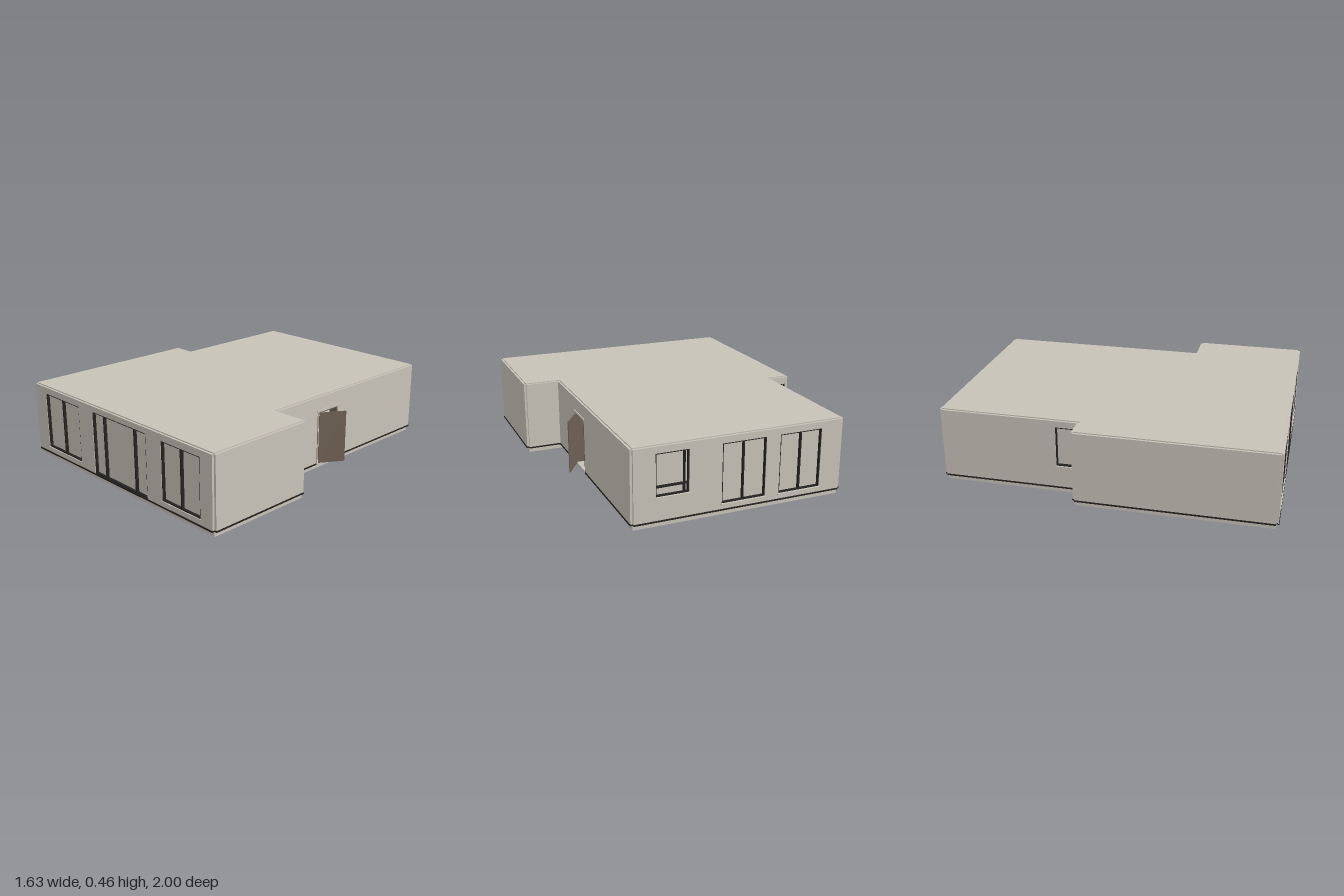
import * as THREE from 'three';

const material = (name, color) => Object.assign(new THREE.MeshStandardMaterial({ color }), { name });

// Corners of the floor plan as [x, z], walked with the outside on the right-hand face
const PLAN = [
  [-0.797, 0.982], [0.797, 0.982], [0.797, 0.325], [0.58, 0.325],
  [0.58, -0.977], [-0.663, -0.977], [-0.663, -0.147], [-0.797, -0.147],
];
const CLAD = 0.013, WALL = 0.04, BASE = 0.03, EAVES = 0.45, TOP = 0.46;

// Openings per wall: from/to are world x or z along that wall
const OPENINGS = [
  [
    { from: -0.69, to: -0.345, y0: 0.07, y1: 0.415, bars: [-0.515], sill: 0.003 },
    { from: -0.21, to: 0.275, y0: 0.037, y1: 0.42, bars: [-0.105, 0.17] },
    { from: 0.4, to: 0.705, y0: 0.07, y1: 0.415, bars: [0.555], sill: 0.003 },
  ],
  [], [],
  [{ from: -0.035, to: -0.215, y0: 0.037, y1: 0.36, door: true }],
  [
    { from: 0.455, to: 0.265, y0: 0.172, y1: 0.415, bars: [0.29], rail: 0.225, sill: 0.01 },
    { from: 0.073, to: -0.19, y0: 0.07, y1: 0.415, bars: [-0.055], sill: 0.01 },
    { from: -0.275, to: -0.535, y0: 0.07, y1: 0.415, bars: [-0.405], sill: 0.01 },
  ],
  [{ from: -0.29, to: -0.18, y0: 0.172, y1: 0.415, sill: 0.007 }],
  [{ from: -0.69, to: -0.785, y0: 0.22, y1: 0.41, sill: 0.007 }],
  [],
];

export function createModel() {
  const house = new THREE.Group();
  house.name = 'house';
  const plaster = material('plaster', 0xc8c2b8);
  const dark = material('dark frame', 0x242322);
  const wood = material('door brown', 0x706255);

  const add = (parent, name, geometry, mat) => {
    const mesh = new THREE.Mesh(geometry, mat);
    mesh.name = name;
    parent.add(mesh);
    return mesh;
  };
  // Box given by its limits on each axis
  const block = (parent, name, mat, x0, x1, y0, y1, z0, z1) =>
    add(parent, name, new THREE.BoxGeometry(x1 - x0, y1 - y0, z1 - z0), mat)
      .position.set((x0 + x1) / 2, (y0 + y1) / 2, (z0 + z1) / 2);

  // Floor and roof slabs share the plan outline
  const outline = new THREE.Shape(PLAN.map(([x, z]) => new THREE.Vector2(x, -z)));
  const slab = (name, y0, y1) => {
    const g = new THREE.ExtrudeGeometry(outline, { depth: y1 - y0, bevelEnabled: false });
    g.rotateX(-Math.PI / 2).translate(0, y0, 0);
    add(house, name, g, plaster);
  };
  slab('floorSlab', 0, BASE);
  slab('roofSlab', EAVES, TOP);

  // Upright panel with the openings cut through
  const panel = (parent, name, length, y0, y1, holes, z0, z1) => {
    const shape = new THREE.Shape([[0, y0], [length, y0], [length, y1], [0, y1]]
      .map(p => new THREE.Vector2(...p)));
    for (const h of holes) {
      shape.holes.push(new THREE.Path([[h.u0, h.y0], [h.u0, h.y1], [h.u1, h.y1], [h.u1, h.y0]]
        .map(p => new THREE.Vector2(...p))));
    }
    const g = new THREE.ExtrudeGeometry(shape, { depth: z1 - z0, bevelEnabled: false });
    add(parent, name, g.translate(0, 0, z0), plaster);
  };

  // Pane, thin frame, bars and sill of one window
  const addWindow = (wall, h, toU) => {
    const win = new THREE.Group();
    win.name = 'window';
    wall.add(win);
    const t = 0.006, back = -0.008, front = CLAD - 0.003;
    block(win, 'pane', plaster, h.u0, h.u1, h.y0, h.y1, back - 0.006, back);
    block(win, 'frameSide', dark, h.u0, h.u0 + t, h.y0, h.y1, back, front);
    block(win, 'frameSide', dark, h.u1 - t, h.u1, h.y0, h.y1, back, front);
    block(win, 'frameHead', dark, h.u0, h.u1, h.y1 - t, h.y1, back, front);
    block(win, 'frameFoot', dark, h.u0, h.u1, h.y0, h.y0 + t, back, front);
    for (const b of h.bars ?? []) {
      const u = toU(b);
      block(win, 'mullion', dark, u - 0.004, u + 0.004, h.y0, h.y1, back, front);
    }
    if (h.rail) block(win, 'transom', dark, h.u0, h.u1, h.rail - 0.004, h.rail + 0.004, back, front);
    if (h.sill) block(win, 'sill', plaster, h.u0 - 0.006, h.u1 + 0.006, h.y0 - 0.008, h.y0, back, CLAD + h.sill);
  };

  // Brown lining, lintel and the leaf standing open
  const addDoor = (wall, h) => {
    const t = 0.008;
    block(wall, 'doorJamb', wood, h.u0, h.u0 + t, h.y0, h.y1, -WALL, CLAD);
    block(wall, 'doorJamb', wood, h.u1 - t, h.u1, h.y0, h.y1, -WALL, CLAD);
    block(wall, 'doorHead', wood, h.u0, h.u1, h.y1 - t, h.y1, -WALL, CLAD);
    block(wall, 'lintel', plaster, h.u0 - 0.003, h.u1 + 0.006, h.y1, h.y1 + 0.015, 0, CLAD + 0.004);
    const hinge = new THREE.Group();
    hinge.name = 'doorLeaf';
    hinge.position.set(h.u0 + 0.015, 0, CLAD);
    hinge.rotation.y = -Math.atan2(0.088, 0.14);
    block(hinge, 'leafPanel', wood, 0, 0.165, h.y0, h.y1 - 0.004, -0.003, 0.003);
    wall.add(hinge);
  };

  // Walls, one per plan edge, with +z of each group facing outward
  PLAN.forEach(([ax, az], i) => {
    const [bx, bz] = PLAN[(i + 1) % PLAN.length];
    const length = Math.hypot(bx - ax, bz - az);
    const wall = new THREE.Group();
    wall.name = 'wall' + (i + 1);
    wall.position.set(ax, 0, az);
    wall.rotation.y = Math.atan2(az - bz, bx - ax);
    house.add(wall);

    const toU = w => Math.abs(w - (Math.abs(bx - ax) > 0.001 ? ax : az));
    const holes = OPENINGS[i].map(o => ({ ...o, u0: toU(o.from), u1: toU(o.to) }));
    panel(wall, 'wallCore', length, BASE, EAVES, holes, -WALL, 0);
    panel(wall, 'cladding', length, BASE + 0.005, EAVES + 0.004, holes.map(h => ({ ...h })), 0, CLAD);

    // Dark drip strip below the cladding, broken at the side door
    const door = holes.find(h => h.door);
    const runs = door ? [[0, door.u0], [door.u1, length]] : [[0, length]];
    for (const [u0, u1] of runs) block(wall, 'dripStrip', dark, u0, u1, BASE - 0.001, BASE + 0.008, 0, CLAD + 0.003);

    for (const h of holes) h.door ? addDoor(wall, h) : addWindow(wall, h, toU);
  });
  return house;
}
